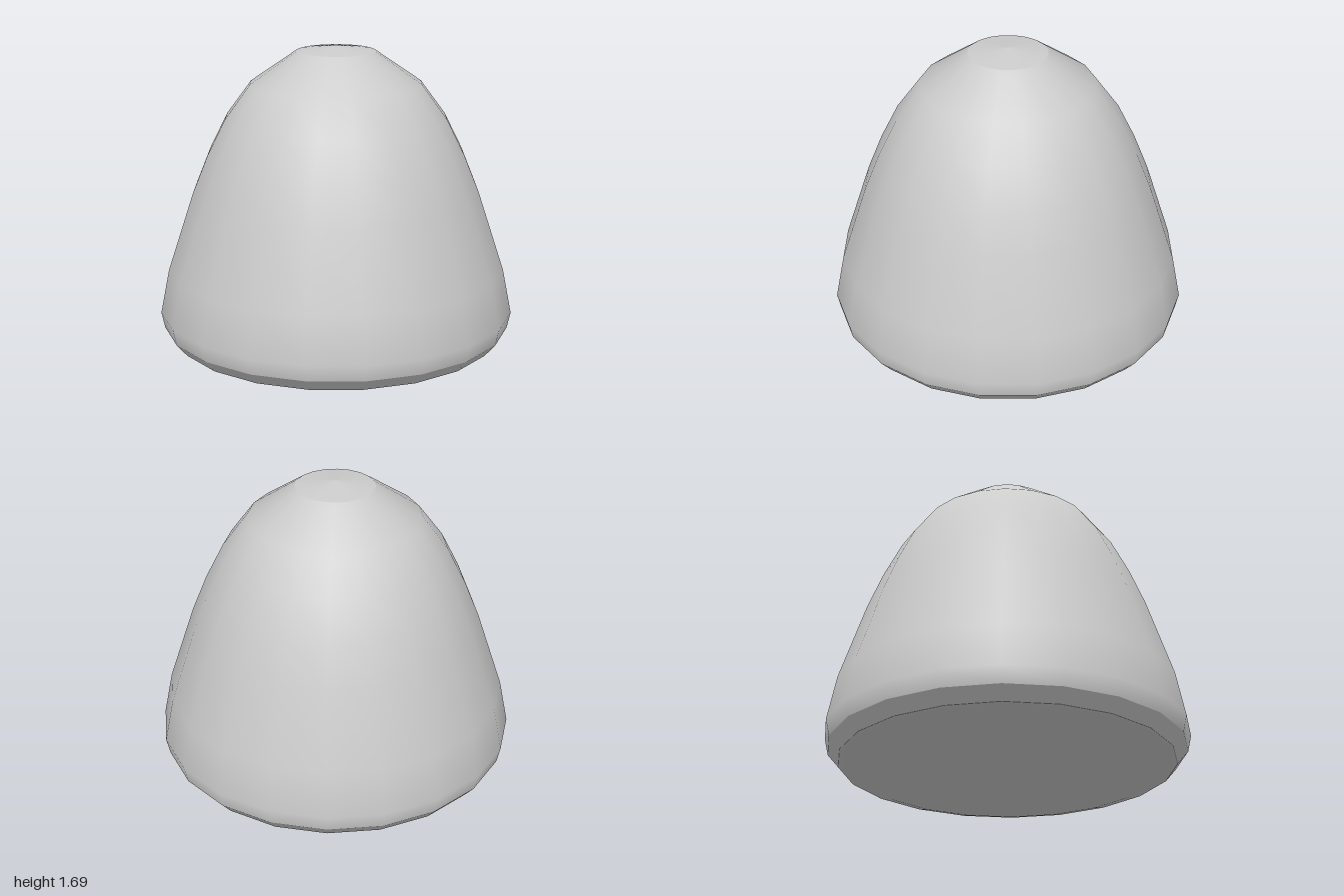
import * as THREE from 'three';

const SIDES = 20;

// Each profile is one smooth band; the bands meet at sharp edges.
const BANDS = {
  base: [[0, 0], [0.83, 0.005], [0.92, 0.03]],
  lowerBevel: [[0.92, 0.03], [0.98, 0.1]],
  body: [[0.98, 0.1], [1, 0.19], [0.95, 0.44], [0.805, 0.88], [0.72, 1.09],
    [0.62, 1.29], [0.48, 1.48], [0.22, 1.66]],
  topCap: [[0.22, 1.66], [0, 1.69]],
};

export function createModel() {
  const group = new THREE.Group();
  group.name = 'roundedCone';
  const material = new THREE.MeshStandardMaterial({ color: 0xcccccc });

  // Revolve every band around the vertical axis, from the base up
  for (const [name, profile] of Object.entries(BANDS)) {
    const points = profile.map(([r, y]) => new THREE.Vector2(r, y));
    const mesh = new THREE.Mesh(new THREE.LatheGeometry(points, SIDES), material);
    mesh.name = name;
    group.add(mesh);
  }
  return group;
}
